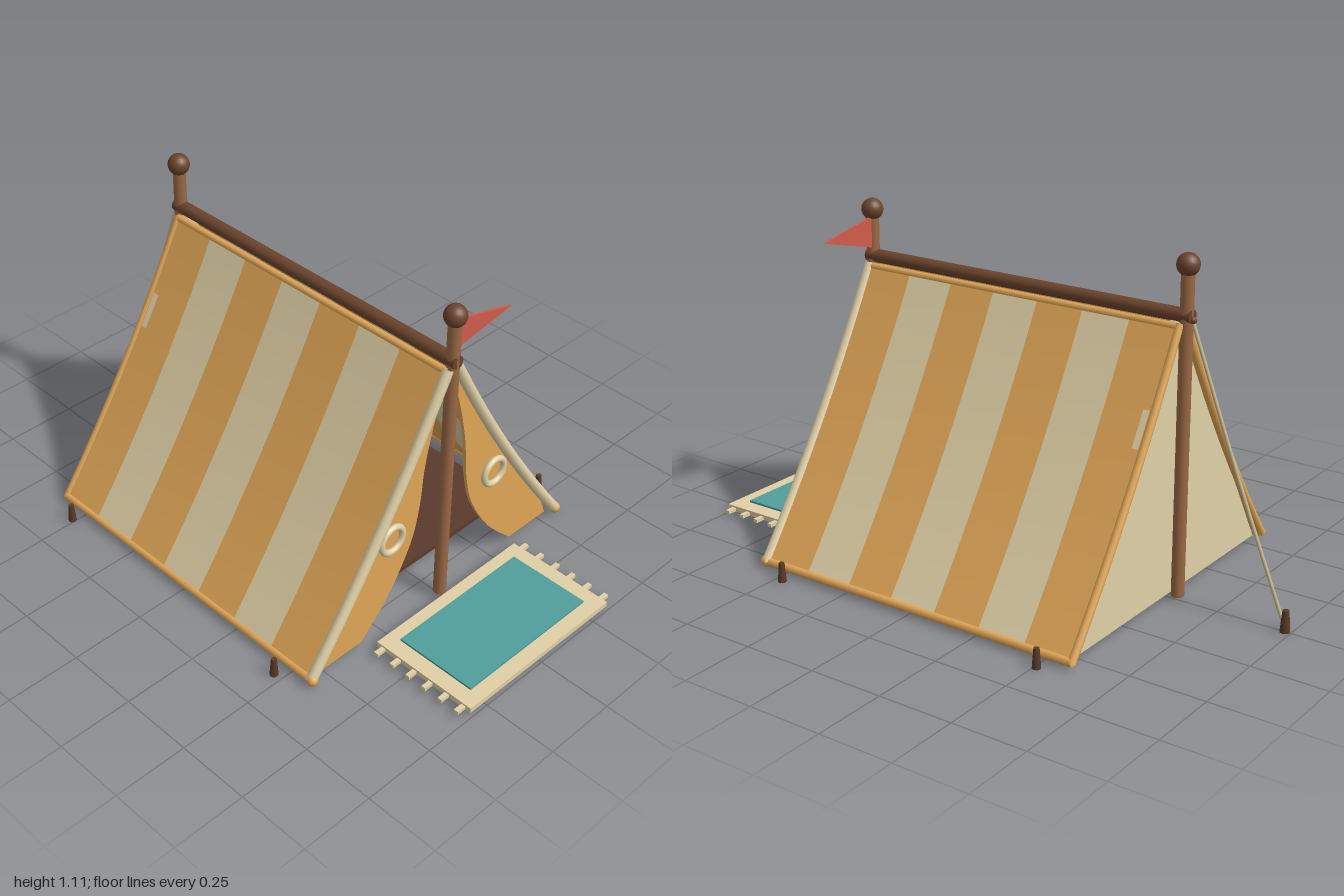
import * as THREE from 'three';
import { toCreasedNormals } from 'three/addons/utils/BufferGeometryUtils.js';

const V2 = (x, y) => new THREE.Vector2(x, y);
const V3 = (x, y, z) => new THREE.Vector3(x, y, z);

export function createModel() {
  const root = new THREE.Group();
  const mat = (name, color, side = THREE.FrontSide) => {
    const m = new THREE.MeshStandardMaterial({ color, side });
    m.name = name;
    return m;
  };
  const orange = mat('orange canvas', 0xe0a657);
  const cream = mat('cream canvas', 0xe0d0a6);
  const wood = mat('pole wood', 0x9a6844);
  const darkWood = mat('dark wood', 0x6b442c);
  const pegWood = mat('peg wood', 0x5a3a28);
  const brown = mat('brown lining', 0x5a3a2c);
  const red = mat('red flag', 0xd05c4a);
  const teal = mat('teal rug', 0x509e9c);
  const ropeColor = mat('rope', 0xc2b48c);

  const add = (name, geo, material, x = 0, y = 0, z = 0) => {
    const m = new THREE.Mesh(geo, material);
    m.name = name;
    m.position.set(x, y, z);
    root.add(m);
    return m;
  };
  // Flat outline in the xy plane given depth along z
  const slab = (pts, depth) => toCreasedNormals(
    new THREE.ExtrudeGeometry(new THREE.Shape(pts), { depth, bevelEnabled: false }), 0.5);
  const tube = (pts, r, seg = 20) =>
    new THREE.TubeGeometry(new THREE.CatmullRomCurve3(pts), seg, r, 10);
  const box = (w, h, d) => new THREE.BoxGeometry(w, h, d);

  // Sagging roof profile from ridge to ground
  const sag = new THREE.QuadraticBezierCurve(V2(0.018, 0.892), V2(0.256, 0.432), V2(0.568, 0.018));
  const N = 16;
  const profile = (s, off = 0) => Array.from({ length: N + 1 }, (_, i) => {
    const p = sag.getPoint(i / N), t = sag.getTangent(i / N);
    return V2(s * (p.x - t.y * off), p.y + t.x * off);
  });

  // Poles with ball finials, and the ridge beam
  for (const [name, z] of [['front', 0.58], ['back', -0.61]]) {
    add(name + 'Pole', new THREE.CylinderGeometry(0.021, 0.021, 1.045, 16), wood, 0, 0.5375, z);
    add(name + 'Finial', new THREE.SphereGeometry(0.036, 20, 14), darkWood, 0, 1.07, z);
  }
  add('ridgeBeam', new THREE.CylinderGeometry(0.022, 0.022, 1.23, 16), darkWood, 0, 0.915, -0.015)
    .rotation.x = Math.PI / 2;

  for (const s of [1, -1]) {
    const side = s > 0 ? 'left' : 'right';

    // Striped roof canvas
    const z0 = -0.6, step = 1.17 / 7;
    const band = [...profile(s, 0.007), ...profile(s, -0.007).reverse()];
    for (let i = 0; i < 7; i++)
      add(side + 'RoofStripe', slab(band, step), i % 2 ? cream : orange, 0, 0, z0 + i * step);

    // Hems and the front trim
    const edge = (z) => profile(s).map((p) => V3(p.x, p.y, z));
    add(side + 'FrontTrim', tube(edge(0.58), 0.018), cream);
    add(side + 'BackHem', tube(edge(-0.598), 0.013), orange);
    for (const [name, x, y, r] of [['GroundHem', 0.564, 0.022, 0.014], ['RidgeHem', 0.022, 0.884, 0.012]]) {
      add(side + name, new THREE.CylinderGeometry(r, r, 1.18, 10), orange, s * x, y, -0.01)
        .rotation.x = Math.PI / 2;
    }
    add(side + 'TrimEnd', new THREE.SphereGeometry(0.019, 12, 8), orange, s * 0.565, 0.023, 0.584);

    // Tied-back entrance flap with its ring
    const inner = new THREE.SplineCurve([
      [0.345, 0.02], [0.23, 0.14], [0.14, 0.29], [0.105, 0.42],
      [0.09, 0.56], [0.06, 0.7], [0.012, 0.86],
    ].map(([x, y]) => V2(s * x, y))).getPoints(24);
    const outer = profile(s, -0.004).slice(0, N - 1);
    add(side + 'Flap', slab([...inner, ...outer, V2(s * 0.525, 0.02)], 0.012), orange, 0, 0, 0.56);
    add(side + 'FlapRing', new THREE.TorusGeometry(0.045, 0.011, 10, 28), cream, s * 0.23, 0.37, 0.58);

    // Side pegs
    for (const z of [0.47, -0.51])
      add(side + 'Peg', new THREE.CylinderGeometry(0.009, 0.014, 0.065, 8), pegWood, s * 0.615, 0.0325, z);

    // Rug fringe
    for (let i = 0; i < 6; i++)
      add(side + 'RugFringe', box(0.036, 0.012, 0.016), cream, s * 0.335, 0.022, 0.642 + i * 0.065);
  }

  // Back wall, dark inner lining and floor
  add('backWall', slab([V2(-0.528, 0.02), V2(0.528, 0.02), V2(0, 0.92)], 0.022), cream, 0, 0, -0.585);
  add('backLining', slab([V2(-0.5, 0.02), V2(0.5, 0.02), V2(0, 0.8)], 0.008), brown, 0, 0, -0.562);
  add('floor', box(0.99, 0.015, 0.99), brown, 0, 0.025, -0.055);

  // Pennant on the front pole
  add('flag', slab([V2(0, 0.945), V2(0.215, 1), V2(0, 1.047)], 0.008), red, 0.018, 0, 0.57)
    .rotation.y = -0.07;

  // Guy rope and its peg
  add('guyRope', tube([V3(0, 0.905, -0.63), V3(0, 0.45, -0.802), V3(0, 0.03, -0.972)], 0.006), ropeColor);
  add('ropeKnot', new THREE.SphereGeometry(0.012, 10, 8), darkWood, 0, 0.905, -0.632);
  add('ropePeg', new THREE.CylinderGeometry(0.011, 0.017, 0.07, 8), pegWood, 0, 0.035, -0.98);

  // Entrance rug
  add('rug', box(0.64, 0.019, 0.38), cream, 0, 0.0245, 0.805);
  add('rugCentre', box(0.53, 0.008, 0.285), teal, 0, 0.037, 0.803);

  return root;
}
